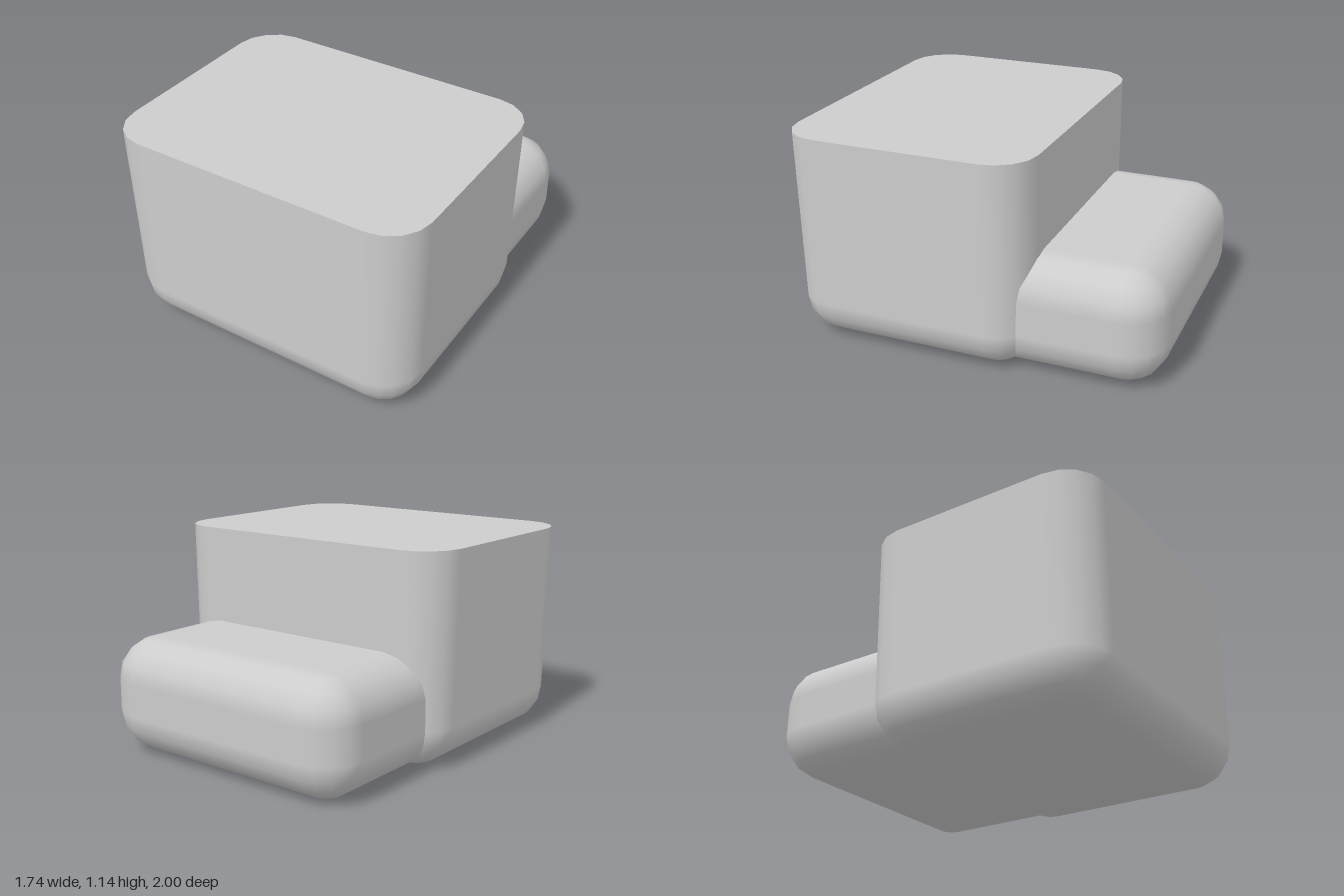
import * as THREE from 'three';

const R = 0.22, STEPS = 4;

// Box with rounded corners and rounded bottom; the top is rounded or cut flat.
function softBox(halfX, y0, y1, z0, z1, flatTop, widen = 0) {
  const position = [], normal = [], index = [];
  const zMid = (z0 + z1) / 2, halfZ = (z1 - z0) / 2;
  const rings = [];
  for (let i = 0; i <= STEPS; i++) rings.push([y0 + R, (i / STEPS - 1) * Math.PI / 2]);
  if (flatTop) rings.push([y1, 0]);
  else for (let i = 0; i <= STEPS; i++) rings.push([y1 - R, (i / STEPS) * Math.PI / 2]);

  const n = 4 * (STEPS + 1);
  for (const [cy, e] of rings) {
    const hx = halfX + widen * (cy - y0 - R) / (y1 - y0 - R);
    for (let q = 0; q < 4; q++) for (let s = 0; s <= STEPS; s++) {
      const a = (q + s / STEPS) * Math.PI / 2;
      const nx = Math.cos(e) * Math.cos(a), ny = Math.sin(e), nz = Math.cos(e) * Math.sin(a);
      const sx = q === 0 || q === 3 ? 1 : -1, sz = q < 2 ? 1 : -1;
      position.push(sx * (hx - R) + R * nx, cy + R * ny, zMid + sz * (halfZ - R) + R * nz);
      normal.push(nx, ny, nz);
    }
  }
  for (let k = 0; k < rings.length - 1; k++) for (let i = 0; i < n; i++) {
    const a = k * n + i, b = k * n + (i + 1) % n;
    index.push(a, a + n, b, b, a + n, b + n);
  }
  // Flat caps with their own vertices keep the rim sharp
  const cap = (ring, y, up) => {
    const c = position.length / 3;
    position.push(0, y, zMid);
    normal.push(0, up, 0);
    for (let i = 0; i < n; i++) {
      const p = (ring * n + i) * 3;
      position.push(position[p], y, position[p + 2]);
      normal.push(0, up, 0);
      const a = c + 1 + i, b = c + 1 + (i + 1) % n;
      index.push(c, ...(up > 0 ? [b, a] : [a, b]));
    }
  };
  cap(0, y0, -1);
  cap(rings.length - 1, y1, 1);

  const g = new THREE.BufferGeometry();
  g.setAttribute('position', new THREE.Float32BufferAttribute(position, 3));
  g.setAttribute('normal', new THREE.Float32BufferAttribute(normal, 3));
  g.setIndex(index);
  return g;
}

export function createModel() {
  const group = new THREE.Group();
  const grey = new THREE.MeshStandardMaterial({ color: 0xcccccc });
  grey.name = 'light grey';

  // Tall main block, slightly wider towards its flat top
  const body = new THREE.Mesh(softBox(0.85, 0, 1.145, -0.33, 1, true, 0.02), grey);
  body.name = 'mainBlock';

  // Low cushion-like block running into the back of the main block
  const rear = new THREE.Mesh(softBox(0.785, 0.003, 0.622, -1, 0.3, false), grey);
  rear.name = 'rearBlock';

  group.add(body, rear);
  return group;
}
